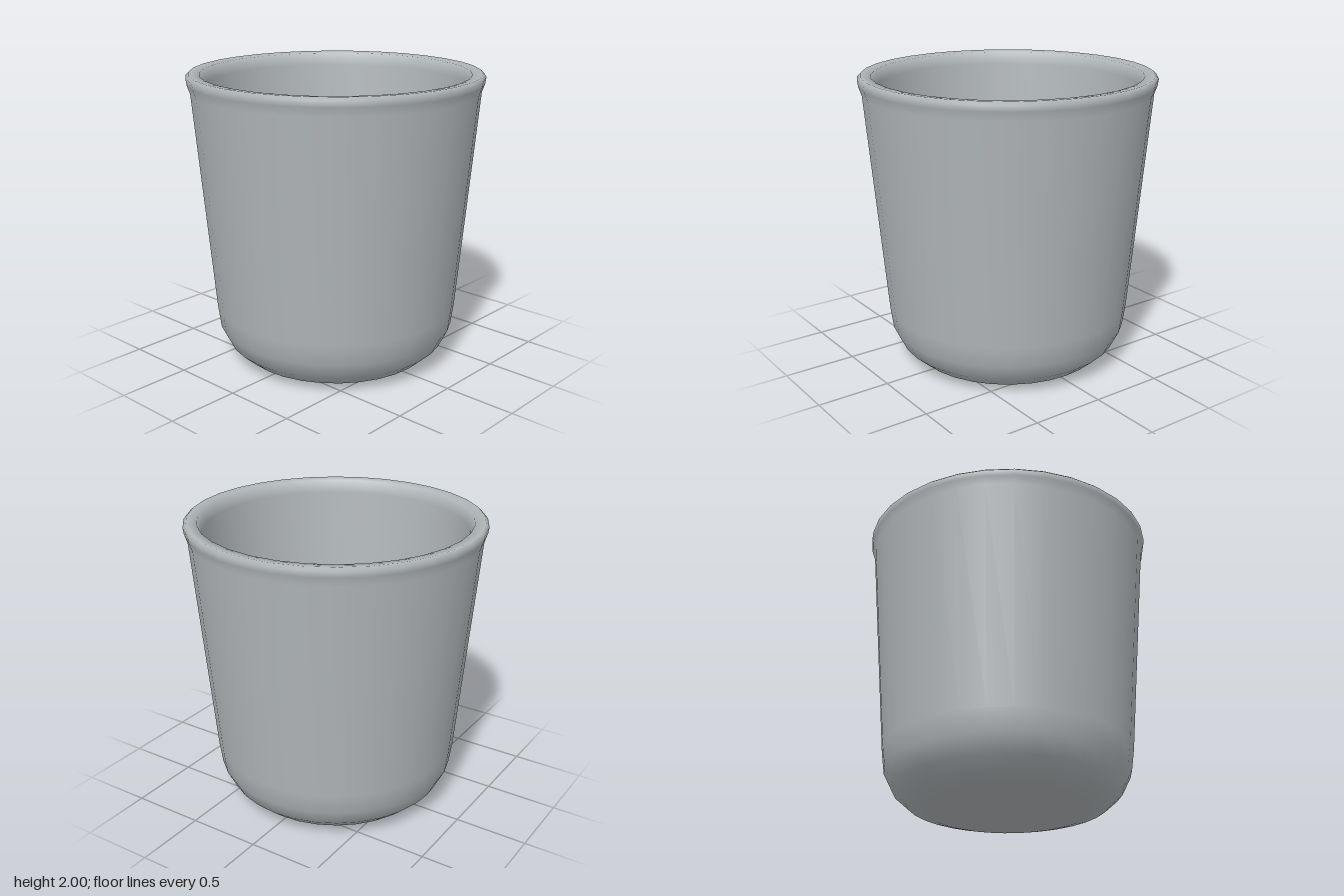
import * as THREE from 'three';

const SIDES = 32;

export function createModel() {
  const group = new THREE.Group();
  group.name = 'cup';
  const ceramic = new THREE.MeshStandardMaterial({ color: 0xb2b7ba });
  ceramic.name = 'grey ceramic';

  // Closed wall: underside, rounded foot, tapered side, flared lip, inner side
  const profile = [
    [0, 0], [0.54, 0], [0.56, 0.003], [0.67, 0.035], [0.76, 0.115], [0.82, 0.235],
    [0.84, 0.38], [0.97, 1.88], [0.99, 1.94], [0.996, 1.98], [0.975, 2],
    [0.905, 1.992], [0.88, 1.91], [0.755, 0.4],
  ].map(([r, y]) => new THREE.Vector2(r, y));
  const wall = new THREE.Mesh(new THREE.LatheGeometry(profile, SIDES), ceramic);
  wall.name = 'cupWall';
  group.add(wall);

  // Flat inner floor, kept apart so its edge stays sharp
  const floor = new THREE.Mesh(new THREE.CircleGeometry(0.755, SIDES), ceramic);
  floor.rotation.x = -Math.PI / 2;
  floor.position.y = 0.4;
  floor.name = 'innerFloor';
  group.add(floor);

  return group;
}
